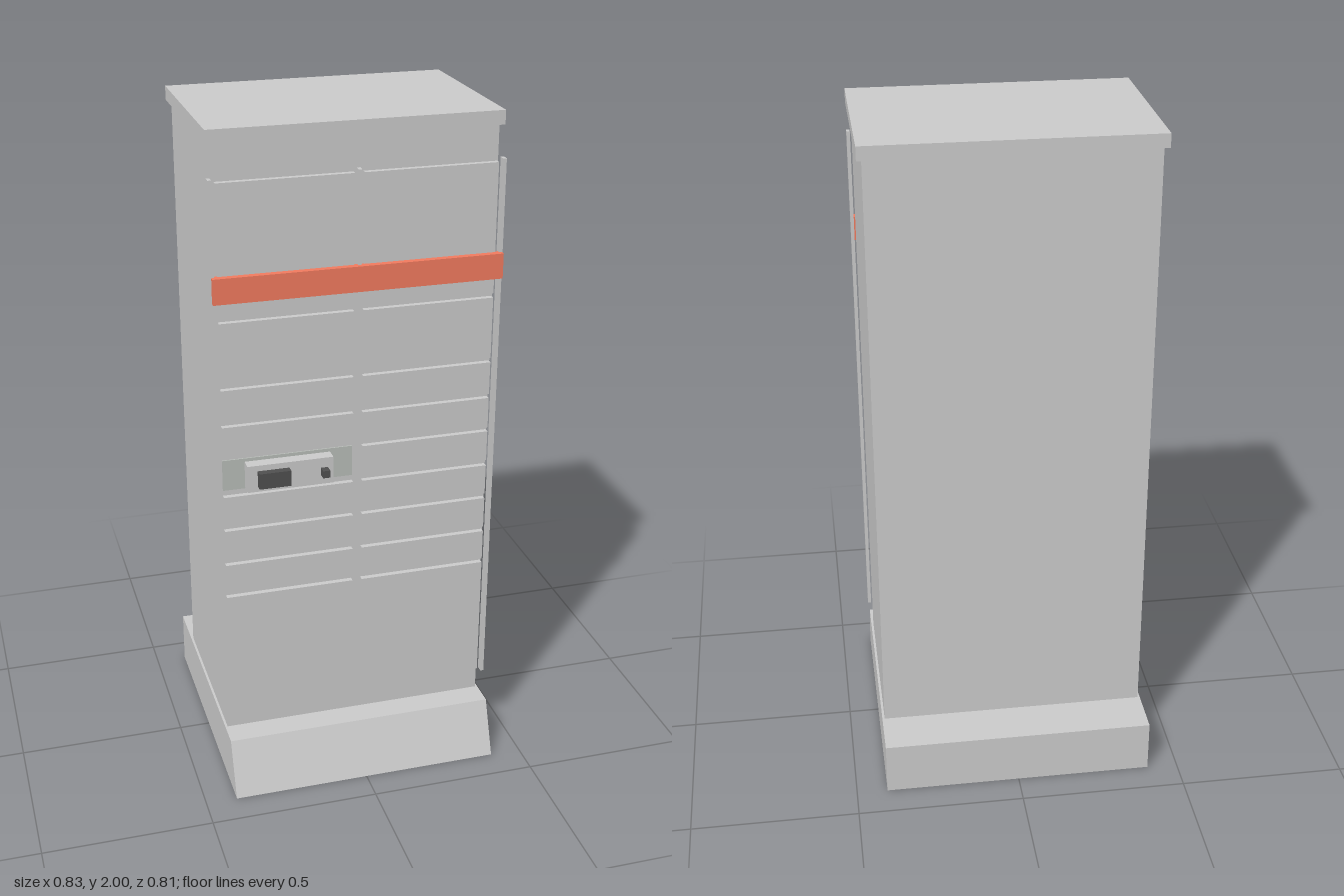
import * as THREE from 'three';

const material = (color) => new THREE.MeshStandardMaterial({ color });
const grey = material(0xcccccc);
const orange = material(0xf27b5f);
const dark = material(0x505050);
const panelGrey = material(0xb9beb9);

// Box given by its lower and upper limits on each axis
function box(name, [x0, x1], [y0, y1], [z0, z1], mat = grey) {
  const mesh = new THREE.Mesh(new THREE.BoxGeometry(x1 - x0, y1 - y0, z1 - z0), mat);
  mesh.position.set((x0 + x1) / 2, (y0 + y1) / 2, (z0 + z1) / 2);
  mesh.name = name;
  return mesh;
}

// Plinth with a sloping front, extruded across the width
function createPlinth() {
  const profile = new THREE.Shape([
    new THREE.Vector2(-0.407, 0),
    new THREE.Vector2(0.407, 0),
    new THREE.Vector2(0.343, 0.163),
    new THREE.Vector2(-0.407, 0.163),
  ]);
  const width = 0.814;
  const geometry = new THREE.ExtrudeGeometry(profile, { depth: width, bevelEnabled: false });
  geometry.translate(0, 0, -width / 2);
  geometry.rotateY(-Math.PI / 2);
  const mesh = new THREE.Mesh(geometry, grey);
  mesh.name = 'plinth';
  return mesh;
}

// Two columns of doors; one left-hand slot holds the terminal instead
function createDoors() {
  const doors = new THREE.Group();
  doors.name = 'lockerDoors';
  const rows = [
    [0.246, 0.625], [0.638, 0.731], [0.746, 0.842], [0.857, 0.95], [0.967, 1.06],
    [1.073, 1.166], [1.179, 1.277], [1.29, 1.473], [1.486, 1.862],
  ];
  const columns = [[-0.394, -0.014], [0.014, 0.394]];
  columns.forEach((xs, column) => rows.forEach((ys, row) => {
    if (column === 0 && row === 4) {
      doors.add(box('terminalPanel', xs, ys, [0.273, 0.277], panelGrey));
    } else {
      doors.add(box('lockerDoor', xs, ys, [0.273, 0.289]));
    }
  }));
  return doors;
}

// Control terminal with a screen and a small scanner
function createTerminal() {
  const terminal = new THREE.Group();
  terminal.name = 'terminal';
  terminal.add(
    box('terminalHousing', [-0.33, -0.08], [0.969, 1.05], [0.277, 0.313]),
    box('screen', [-0.301, -0.209], [0.986, 1.033], [0.313, 0.335], dark),
    box('scanner', [-0.117, -0.096], [0.998, 1.02], [0.313, 0.338], dark),
  );
  return terminal;
}

export function createModel() {
  const model = new THREE.Group();
  model.name = 'parcelLocker';

  // Cabinet
  model.add(
    createPlinth(),
    box('cabinet', [-0.4, 0.4], [0.163, 1.96], [-0.263, 0.265]),
    box('roofCap', [-0.414, 0.414], [1.96, 2], [-0.275, 0.273]),
  );

  // Front
  model.add(createDoors(), createTerminal());
  for (const x of [-0.409, 0, 0.409]) {
    model.add(box('verticalTrim', [x - 0.005, x + 0.005], [0.239, 1.872], [0.273, 0.294]));
  }
  model.add(box('colourBand', [-0.412, 0.412], [1.534, 1.607], [0.284, 0.308], orange));

  return model;
}
